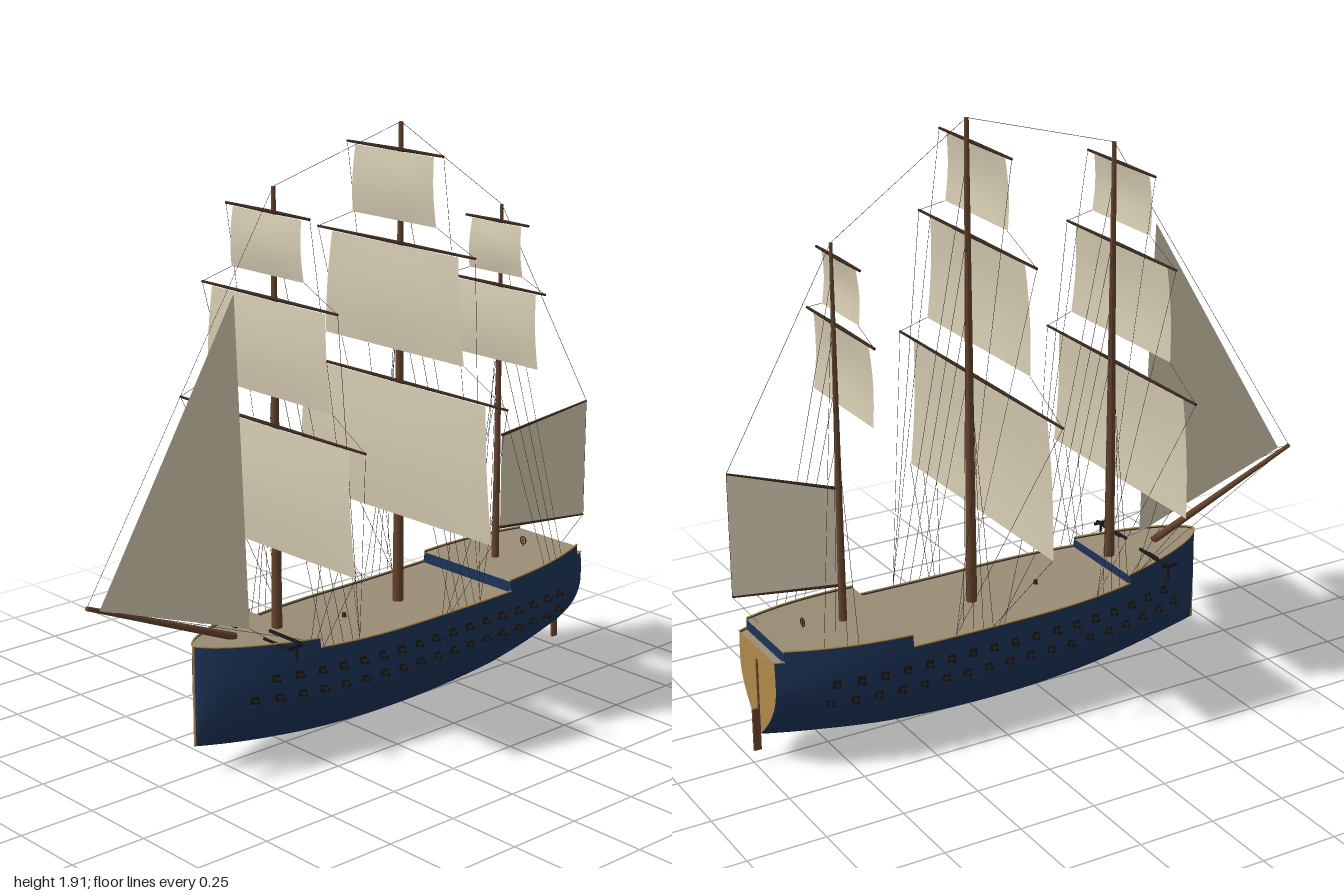
import * as THREE from 'three';
import { mergeGeometries } from 'three/addons/utils/BufferGeometryUtils.js';

const V = (x, y, z) => new THREE.Vector3(x, y, z);

function paint(name, color, double = false) {
  const m = new THREE.MeshStandardMaterial({ color });
  m.name = name;
  if (double) m.side = THREE.DoubleSide;
  return m;
}

// Surface through rows of points
function loft(rows) {
  const n = rows[0].length, pos = [], idx = [];
  rows.forEach(r => r.forEach(p => pos.push(p.x, p.y, p.z)));
  for (let i = 0; i < rows.length - 1; i++)
    for (let j = 0; j < n - 1; j++) {
      const a = i * n + j, b = a + n;
      idx.push(a, b, a + 1, a + 1, b, b + 1);
    }
  const g = new THREE.BufferGeometry();
  g.setAttribute('position', new THREE.Float32BufferAttribute(pos, 3));
  g.setIndex(idx);
  g.computeVertexNormals();
  return g;
}

// Round pole from a to b
function pole(a, b, r0, r1 = r0, sides = 10) {
  const d = b.clone().sub(a), g = new THREE.CylinderGeometry(r1, r0, d.length(), sides);
  g.applyQuaternion(new THREE.Quaternion().setFromUnitVectors(V(0, 1, 0), d.normalize()));
  const c = a.clone().add(b).multiplyScalar(0.5);
  return g.translate(c.x, c.y, c.z);
}

const box = (w, h, d, x, y, z) => new THREE.BoxGeometry(w, h, d).translate(x, y, z);

// Hull form
const WIDE = 0.3, STERN = -0.974;
const keel = z => 0.09 * (Math.abs(z + 0.18) / 0.79) ** 2;
function beam(z) {
  if (z > -0.1) return 0.21 * Math.max(0, 1 - ((z + 0.1) / 0.71) ** 2) ** 0.65;
  return 0.21 - 0.08 * Math.max(0, (-z - 0.5) / 0.47) ** 2.5;
}
function railY(z) {
  if (z > 0.25) return 0.397 + 0.018 * (z - 0.25) / 0.36;
  if (z > -0.55) return 0.362 + 0.03 * (z + 0.2) ** 2;
  if (z > -0.945) return 0.402 + 0.016 * (-0.55 - z) / 0.39;
  return 0.385;
}
function sideX(y, z) {
  if (y > WIDE) return beam(z) * (1 - 0.05 * ((y - WIDE) / 0.11) ** 2);
  const s = (y - keel(z)) / (WIDE - keel(z));
  // Sections sharpen into a V towards the stern
  const sharp = 0.8 + 0.25 * Math.max(0, (-z - 0.6) / 0.374);
  return beam(z) * Math.max(0, 1 - (1 - s) ** 2) ** sharp;
}

export function createModel() {
  const model = new THREE.Group();
  const navy = paint('navy hull', 0x1c3358, true), gold = paint('ochre trim', 0xb08a48, true);
  const planks = paint('deck planks', 0x9b8d76, true), canvas = paint('sail canvas', 0xd3c9b0, true);
  const wood = paint('mast wood', 0x64432c), dark = paint('dark yard wood', 0x39261b);
  const rope = paint('rope', 0x2e2924), iron = paint('gun iron', 0x17181a);
  const rudderWood = paint('rudder wood', 0x6b4630);
  const add = (name, geo, mat) => {
    const m = new THREE.Mesh(Array.isArray(geo) ? mergeGeometries(geo) : geo, mat);
    m.name = name;
    model.add(m);
  };

  // Hull stations, doubled where the deck level steps
  const stations = [0.25, 0.2502, -0.5498, -0.55, -0.9448, -0.945, STERN];
  for (let z = -0.93; z < 0.54; z += 0.04) stations.push(z);
  stations.push(0.54, 0.56, 0.575, 0.59, 0.6, 0.606, 0.61);
  stations.sort((a, b) => b - a);
  const section = z => {
    const half = [];
    for (let i = 0; i <= 12; i++) {
      const y = keel(z) + (WIDE - keel(z)) * (i / 12) ** 1.5;
      half.push(V(sideX(y, z), y, z));
    }
    for (let i = 1; i <= 3; i++) {
      const y = WIDE + (railY(z) - WIDE) * i / 3;
      half.push(V(sideX(y, z), y, z));
    }
    return [...half.slice(1).reverse().map(p => V(-p.x, p.y, p.z)), ...half];
  };
  add('hull', loft(stations.map(section)), navy);
  const stern = section(STERN);
  add('transom', loft([stern.slice(0, 16), stern.slice(15).reverse()]), gold);

  // Decks, with upright bulkheads at the steps
  const deckRow = z => {
    const y = railY(z) - 0.006, x = sideX(y, z) * 0.985;
    return [V(-x, y, z), V(x, y, z)];
  };
  const decks = [], bulkheads = [], rails = [];
  for (let i = 0; i < stations.length - 1; i++) {
    const [a, b] = [stations[i], stations[i + 1]];
    const step = a - b < 0.001;
    (step ? bulkheads : decks).push(loft([deckRow(a), deckRow(b)]));
    for (const s of [-1, 1]) {
      const p = z => V(s * sideX(railY(z), z), railY(z), z);
      if (!step) rails.push(pole(p(a), p(b), 0.003, 0.003, 5));
    }
  }
  add('decks', decks, planks);
  add('bulkheads', bulkheads, navy);
  add('railTrim', rails, gold);
  add('stemTrim', pole(V(0, 0.09, 0.61), V(0, 0.414, 0.61), 0.004, 0.004, 6), gold);
  add('rudder', [box(0.008, 0.14, 0.024, 0, 0.11, -0.986), box(0.008, 0.17, 0.006, 0, 0.26, -0.975)], rudderWood);

  // Two gun rows per side
  const ports = [], guns = [];
  for (const [y, start, count] of [[0.295, 0.4, 17], [0.23, 0.46, 18]])
    for (let i = 0; i < count; i++)
      for (const s of [-1, 1]) {
        const z = start - i * 0.075, x = sideX(y, z);
        const turn = s * Math.atan2(sideX(y, z - 0.02) - sideX(y, z + 0.02), 0.04);
        const lean = s * Math.atan2(sideX(y + 0.01, z) - sideX(y - 0.01, z), 0.02);
        ports.push(new THREE.BoxGeometry(0.006, 0.025, 0.025).rotateZ(-lean).rotateY(-turn).translate(s * x, y, z));
        guns.push(pole(V(s * (x - 0.01), y - 0.002, z), V(s * (x + 0.022), y - 0.002, z), 0.008, 0.0065, 8));
      }
  add('gunPorts', ports, iron);
  add('guns', guns, iron);

  // Masts; each sail is [yard height, yard half length, sail top half, foot half, foot height]
  const rigs = [
    { name: 'fore', z: 0.28, base: 0.39, top: 1.77, r: 0.017, yardZ: 0.305, sails: [
      [1.05, 0.43, 0.36, 0.39, 0.66], [1.44, 0.31, 0.26, 0.285, 1.14], [1.7, 0.19, 0.155, 0.165, 1.51]] },
    { name: 'main', z: -0.235, base: 0.35, top: 1.91, r: 0.018, yardZ: -0.208, sails: [
      [1.1, 0.5, 0.41, 0.445, 0.66], [1.54, 0.355, 0.285, 0.315, 1.2], [1.83, 0.215, 0.175, 0.188, 1.61]] },
    { name: 'mizzen', z: -0.685, base: 0.39, top: 1.6, r: 0.013, yardZ: -0.664, sails: [
      [1.34, 0.22, 0.18, 0.195, 1.09], [1.55, 0.14, 0.11, 0.12, 1.38]] },
  ];
  const ropes = [];
  const line = (a, b) => ropes.push(pole(a, b, 0.0007, 0.0007, 4));
  const railPoint = (s, z) => V(s * sideX(railY(z), z), railY(z), z);
  for (const { name, z, base, top, r, yardZ, sails } of rigs) {
    add(name + 'Mast', pole(V(0, base, z), V(0, top, z), r, r * 0.4), wood);
    const yards = [], cloths = [];
    sails.forEach(([y, half, w0, w1, foot], k) => {
      for (const s of [-1, 1]) {
        yards.push(pole(V(0, y, yardZ), V(s * half, y, yardZ), 0.006, 0.004, 8));
        if (k) line(V(s * w1, foot, yardZ), V(s * sails[k - 1][1], sails[k - 1][0], yardZ));
        if (name === 'mizzen') continue;
        line(V(s * half, y, yardZ), railPoint(s, z - 0.17));
        if (!k) for (const f of [1, 0.8, 0.6]) line(V(s * w1 * f, foot, yardZ), railPoint(s, z + 0.06 - 0.1 * f));
      }
      const rows = [];
      for (let i = 0; i <= 8; i++) {
        const v = i / 8, w = w0 + (w1 - w0) * v, row = [];
        for (let j = 0; j <= 8; j++) {
          const u = j / 4 - 1;
          row.push(V(u * w, y - 0.006 + (foot - y + 0.006) * v,
            yardZ + 0.002 + 0.012 * Math.sin(Math.PI * v) * (1 - 0.4 * u * u)));
        }
        rows.push(row);
      }
      cloths.push(loft(rows));
    });
    add(name + 'Yards', yards, dark);
    add(name + 'Sails', cloths, canvas);
    // Shrouds
    for (const s of [-1, 1])
      for (let i = 0; i < 4; i++)
        line(V(0, base + (top - base) * (0.5 + 0.14 * i), z), railPoint(s, z - 0.04 - i * 0.035));
  }

  // Bowsprit and jib
  const tip = V(0, 0.63, 0.995);
  add('bowsprit', pole(V(0, 0.405, 0.45), tip, 0.013, 0.007), wood);
  const head = V(0.03, 1.48, 0.46), tack = V(0.02, 0.62, 0.965), clew = V(0.03, 0.43, 0.415);
  add('jib', loft([[head, head], [tack, clew]]), canvas);

  // Spanker with gaff and boom, swung to one side
  const throat = V(0.02, 0.83, -0.685), peak = V(0.11, 0.91, -0.997);
  const heel = V(0.02, 0.51, -0.685), end = V(0.11, 0.51, -0.997);
  add('spankerSail', loft([[throat, peak], [heel, end]]), canvas);
  add('spankerSpars', [pole(throat, peak, 0.005, 0.003, 8), pole(heel, end, 0.005, 0.003, 8)], dark);

  // Stays between mastheads and ends
  const [foreTop, mainTop, mizzenTop] = rigs.map(m => V(0, m.top, m.z));
  for (const [a, b] of [[foreTop, tip], [foreTop, mainTop], [mainTop, mizzenTop], [mizzenTop, peak],
    [peak, end], [end, V(0.08, 0.42, -0.93)], [tack, tip], [clew, V(0.08, 0.4, 0.38)]]) line(a, b);
  for (const s of [-1, 1]) line(tip, railPoint(s, 0.3));
  add('rigging', ropes, rope);

  // Anchors on their beams near the bow
  const anchors = [];
  for (const s of [-1, 1]) {
    anchors.push(box(0.14, 0.008, 0.008, s * 0.13, 0.418, 0.36), box(0.13, 0.008, 0.008, s * 0.13, 0.4, 0.388),
      box(0.006, 0.008, 0.06, s * 0.2, 0.41, 0.38), box(0.006, 0.05, 0.006, s * 0.2, 0.388, 0.374));
  }
  add('anchors', anchors, iron);

  // Deck fittings
  add('capstan', new THREE.CylinderGeometry(0.006, 0.008, 0.016, 10).translate(0, 0.363, 0), dark);
  add('steeringWheel', [new THREE.TorusGeometry(0.013, 0.002, 6, 16).translate(0, 0.428, -0.82),
    box(0.03, 0.002, 0.002, 0, 0.428, -0.82), box(0.002, 0.04, 0.002, 0, 0.422, -0.82)], dark);
  return model;
}
